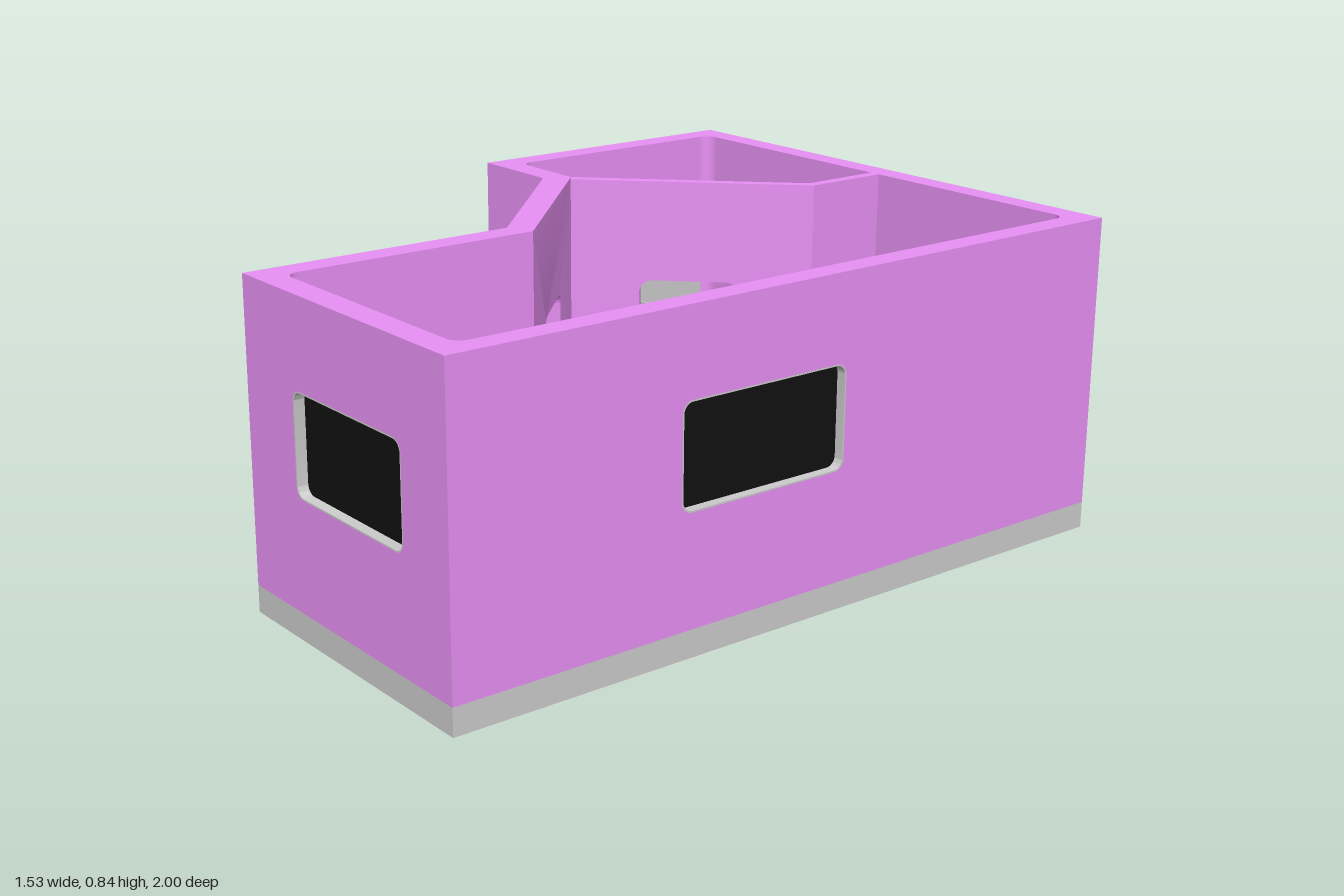
import * as THREE from 'three';
import { mergeVertices, toCreasedNormals } from 'three/addons/utils/BufferGeometryUtils.js';

const FLOOR = 0.07, TOP = 0.84;
const grey = new THREE.MeshStandardMaterial({ color: 0xcccccc });
const purple = new THREE.MeshStandardMaterial({ color: 0xe890f4 });
const black = new THREE.MeshStandardMaterial({ color: 0x111111 });

function roundRect(x0, y0, x1, y1, r, Type = THREE.Shape) {
  const s = new Type();
  s.moveTo(x0 + r, y0);
  s.absarc(x1 - r, y0 + r, r, -Math.PI / 2, 0);
  s.absarc(x1 - r, y1 - r, r, 0, Math.PI / 2);
  s.absarc(x0 + r, y1 - r, r, Math.PI / 2, Math.PI);
  s.absarc(x0 + r, y0 + r, r, Math.PI, Math.PI * 1.5);
  return s;
}

export function createModel() {
  const model = new THREE.Group();

  function add(name, geometry, material = grey, parent = model) {
    const mesh = new THREE.Mesh(geometry, material);
    mesh.name = name;
    parent.add(mesh);
    return mesh;
  }

  // Plan shape drawn as (x, -z), raised from y0 to y1
  function slab(name, shape, y0, y1, material = grey) {
    const g = new THREE.ExtrudeGeometry(shape, { depth: y1 - y0, bevelEnabled: false, curveSegments: 6 });
    g.rotateX(-Math.PI / 2);
    g.translate(0, y0, 0);
    return add(name, toCreasedNormals(g, 0.6), material);
  }
  const plan = (pts) => new THREE.Shape(pts.map(([x, z]) => new THREE.Vector2(x, -z)));
  const rounded = (name, x0, z0, x1, z1, r, y0, y1) => slab(name, roundRect(x0, -z1, x1, -z0, r), y0, y1);
  function box(name, x0, z0, x1, z1, y0, y1) {
    const g = new THREE.BoxGeometry(x1 - x0, y1 - y0, z1 - z0);
    return add(name, g.translate((x0 + x1) / 2, (y0 + y1) / 2, (z0 + z1) / 2));
  }

  // Elevation shape (u along wall, y) given depth between the outer and inner wall lines, ends mitred
  function wallPart(name, [A, B, A2, B2], shape, w0, w1, material) {
    const L = Math.hypot(B[0] - A[0], B[1] - A[1]);
    const dx = (B[0] - A[0]) / L, dz = (B[1] - A[1]) / L;
    const t = (A2[0] - A[0]) * -dz + (A2[1] - A[1]) * dx;
    const g = new THREE.ExtrudeGeometry(shape, { depth: w1 - w0, bevelEnabled: false, curveSegments: 8 });
    const p = g.attributes.position;
    for (let i = 0; i < p.count; i++) {
      const u = p.getX(i), w = p.getZ(i) + w0;
      let x = A[0] + dx * u - dz * t * w, z = A[1] + dz * u + dx * t * w;
      if (u < 1e-4) { x = A[0] + w * (A2[0] - A[0]); z = A[1] + w * (A2[1] - A[1]); }
      if (u > L - 1e-4) { x = B[0] + w * (B2[0] - B[0]); z = B[1] + w * (B2[1] - B[1]); }
      p.setXYZ(i, x, p.getY(i), z);
    }
    return add(name, toCreasedNormals(g, 0.5), material);
  }

  function wall(name, ends, { door, win } = {}) {
    const [A, B] = ends, L = Math.hypot(B[0] - A[0], B[1] - A[1]);
    const s = new THREE.Shape();
    s.moveTo(0, FLOOR);
    if (door) {
      const [a, b] = door, h = 0.56, r = 0.035;
      s.lineTo(a, FLOOR);
      s.lineTo(a, h - r);
      s.absarc(a + r, h - r, r, Math.PI, Math.PI / 2, true);
      s.absarc(b - r, h - r, r, Math.PI / 2, 0, true);
      s.lineTo(b, FLOOR);
    }
    s.lineTo(L, FLOOR);
    s.lineTo(L, TOP);
    s.lineTo(0, TOP);
    if (win) {
      const [a, c, b, d] = win, e = 0.004, r = 0.03;
      s.holes.push(roundRect(a, c, b, d, r, THREE.Path));
      const ring = roundRect(a, c, b, d, r);
      ring.holes.push(roundRect(a + e, c + e, b - e, d - e, r - e, THREE.Path));
      wallPart(name + 'WindowFrame', ends, ring, 0, 1, grey);
      wallPart(name + 'WindowGlass', ends, roundRect(a + e, c + e, b - e, d - e, r - e), 0.4, 0.6, black);
    }
    wallPart(name, ends, s, 0, 1, purple);
  }

  // Floor and outer walls
  const outer = [[-0.77, -1], [0.765, -1], [0.765, 1], [-0.07, 1], [-0.07, 0.26], [-0.5, -0.165], [-0.77, -0.165]];
  const inner = [[-0.7, -0.935], [0.7, -0.935], [0.7, 0.93], [0, 0.93], [0, 0.23], [-0.465, -0.235], [-0.7, -0.235]];
  slab('floor', plan([...outer].reverse()), 0, FLOOR);
  const walls = [
    ['backWall', { win: [0.47, 0.48, 0.68, 0.67] }],
    ['leftWall', { win: [0.885, 0.355, 1.38, 0.62] }],
    ['frontWall', { win: [0.175, 0.355, 0.625, 0.615] }],
    ['rightWall'], ['entranceWall', { door: [0.162, 0.436] }], ['bathroomFrontWall'], ['bathroomSideWall'],
  ];
  walls.forEach(([name, cut], i) => {
    const j = (i + 1) % outer.length;
    wall(name, [outer[i], outer[j], inner[i], inner[j]], cut);
  });

  // Partition around the bathroom
  wall('partitionEnd', [[0.03, -0.935], [0.03, -0.69], [0, -0.935], [0, -0.7]]);
  wall('partition', [[0.03, -0.69], [-0.44, -0.215], [0, -0.7], [-0.465, -0.235]], { door: [0.2, 0.476] });

  // Rounded inner corners
  for (const [x, z, sx, sz] of [[-0.7, -0.935, 1, 1], [-0.7, -0.235, 1, -1], [0.7, -0.935, -1, 1],
    [0.7, 0.93, -1, -1], [0, 0.93, 1, -1]]) {
    const r = 0.035, s = new THREE.Shape();
    s.moveTo(x, -z);
    s.lineTo(x + sx * r, -z);
    s.absarc(x + sx * r, -z - sz * r, r, sz * Math.PI / 2, sx > 0 ? Math.PI : 0, sx * sz < 0);
    slab('cornerFillet', s, FLOOR, TOP, purple);
  }

  // Kitchen
  box('tallCabinet', 0.03, -0.935, 0.7, -0.8, FLOOR, 0.4);
  box('kitchenCounter', 0.56, -0.8, 0.7, -0.31, FLOOR, 0.29);
  box('hob', 0.575, -0.53, 0.67, -0.4, 0.29, 0.294);

  // Dining corner
  rounded('bench', 0.56, -0.31, 0.66, 0.155, 0.02, FLOOR, 0.17);
  rounded('tableTop', 0.35, -0.31, 0.56, -0.035, 0.03, 0.235, 0.25);
  add('tableLeg', new THREE.CylinderGeometry(0.015, 0.015, 0.165, 16).translate(0.455, 0.1525, -0.17));
  rounded('dividerCabinet', 0.35, 0.155, 0.7, 0.295, 0.025, FLOOR, 0.28);

  // Corner sofa
  const seat = new THREE.Shape();
  seat.moveTo(0.7, -0.3);
  seat.lineTo(0.49, -0.3);
  seat.lineTo(0.49, -0.41);
  seat.quadraticCurveTo(0.49, -0.44, 0.52, -0.44);
  seat.quadraticCurveTo(0.56, -0.44, 0.56, -0.48);
  seat.lineTo(0.56, -0.62);
  seat.quadraticCurveTo(0.56, -0.65, 0.53, -0.65);
  seat.lineTo(0.17, -0.65);
  seat.quadraticCurveTo(0.14, -0.65, 0.14, -0.68);
  seat.lineTo(0.14, -0.93);
  seat.lineTo(0.7, -0.93);
  slab('sofaSeat', seat, FLOOR, 0.16);
  box('sofaBack', 0.625, 0.3, 0.7, 0.93, 0.16, 0.28);

  // Corner stand beside the entrance
  slab('cornerStand', plan([[-0.45, -0.21], [-0.36, -0.12], [-0.345, -0.12], [-0.265, -0.2],
    [-0.26, -0.215], [-0.265, -0.23], [-0.35, -0.31]]), FLOOR, 0.18);

  // Wall-hung toilet: bowl cross-sections squeezed into an oval, seat and tank
  const bowl = new THREE.LatheGeometry([[0, 0.165], [0.022, 0.165], [0.026, 0.2], [0.038, 0.235], [0.04, 0.245], [0, 0.245]]
    .map(([r, y]) => new THREE.Vector2(r, y)), 28);
  bowl.scale(1, 1, 1.35);
  add('toiletBowl', toCreasedNormals(bowl, 0.7)).position.set(-0.265, 0, -0.865);
  const lid = new THREE.CylinderGeometry(0.042, 0.042, 0.01, 28).scale(1, 1, 1.33);
  add('toiletSeat', lid).position.set(-0.265, 0.25, -0.865);
  box('toiletMount', -0.305, -0.935, -0.225, -0.91, 0.18, 0.255);

  // Wash basin with a round-cornered bowl and tap
  const basin = roundRect(-0.595, 0.82, -0.48, 0.91, 0.008);
  basin.holes.push(roundRect(-0.58, 0.83, -0.495, 0.88, 0.02, THREE.Path));
  slab('basinRim', basin, 0.2, 0.235);
  box('basinBottom', -0.59, -0.905, -0.485, -0.825, 0.19, 0.205);
  box('basinMount', -0.56, -0.935, -0.515, -0.9, 0.19, 0.225);
  const pipe = (name, pts, r) => add(name, new THREE.TubeGeometry(
    new THREE.CatmullRomCurve3(pts.map((p) => new THREE.Vector3(...p)), false, 'catmullrom', 0.1), 32, r, 10));
  pipe('basinTap', [[-0.54, 0.23, -0.9], [-0.54, 0.275, -0.9], [-0.54, 0.28, -0.89], [-0.54, 0.275, -0.855]], 0.005);

  // Grab rails beside the toilet
  pipe('wallRail', [[-0.425, 0.33, -0.93], [-0.425, 0.33, -0.92], [-0.36, 0.33, -0.92], [-0.355, 0.32, -0.92], [-0.355, 0.15, -0.92]], 0.005);
  pipe('foldingRail', [[-0.355, 0.25, -0.93], [-0.355, 0.25, -0.81], [-0.355, 0.24, -0.8], [-0.355, 0.2, -0.8],
    [-0.355, 0.19, -0.81], [-0.355, 0.19, -0.93]], 0.005);

  // Shower side: seat, screen, wall panel and low step
  rounded('showerSeat', -0.7, -0.51, -0.575, -0.305, 0.025, 0.16, 0.18);
  box('showerSeatCushion', -0.655, -0.475, -0.595, -0.34, 0.18, 0.187);
  box('showerSeatBack', -0.7, -0.51, -0.66, -0.305, 0.18, 0.27);
  box('showerScreen', -0.7, -0.588, -0.56, -0.582, FLOOR, 0.4);
  box('wallMirror', -0.7, -0.9, -0.688, -0.62, 0.28, 0.5);
  slab('bathroomStep', plan([[-0.145, -0.935], [-0.145, -0.555], [0, -0.7], [0, -0.935]]), FLOOR, 0.085);

  return model;
}
